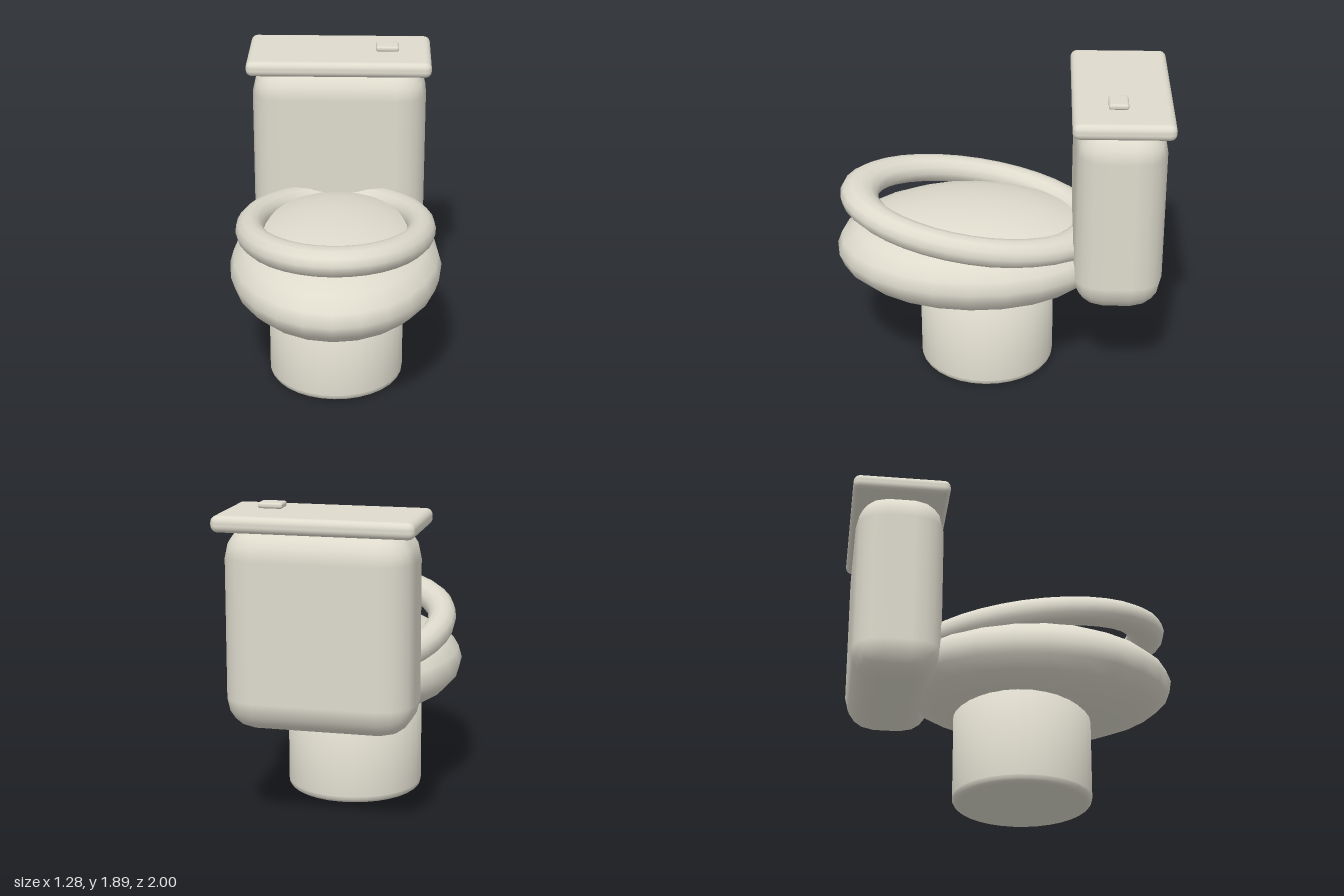
import * as THREE from 'three';
import { RoundedBoxGeometry } from 'three/addons/geometries/RoundedBoxGeometry.js';

export function createModel() {
  const group = new THREE.Group();
  const ceramic = new THREE.MeshStandardMaterial({ color: 0xdedbcd });
  ceramic.name = 'ceramic';

  const add = (name, geometry, x, y, z) => {
    const mesh = new THREE.Mesh(geometry, ceramic);
    mesh.name = name;
    mesh.position.set(x, y, z);
    group.add(mesh);
    return mesh;
  };

  // Round pedestal with a softened bottom edge; its top is sunk into the bowl
  const r = 0.413, bevel = 0.04;
  const profile = [new THREE.Vector2(0, 0), new THREE.Vector2(r - bevel - 0.001, 0)];
  for (let i = 0; i <= 4; i++) {
    const a = (i / 4) * Math.PI / 2;
    profile.push(new THREE.Vector2(r - bevel + bevel * Math.sin(a), bevel - bevel * Math.cos(a)));
  }
  profile.push(new THREE.Vector2(r, bevel + 0.001), new THREE.Vector2(r, 0.65), new THREE.Vector2(0, 0.65));
  add('pedestal', new THREE.LatheGeometry(profile, 32), 0, 0, 0.083);

  // Bowl: a stretched, flattened ball
  add('bowl', new THREE.SphereGeometry(1, 24, 12).scale(0.64, 0.29, 0.84), 0, 0.78, 0.16);

  // Oval seat ring, raised at the front
  const seat = new THREE.TorusGeometry(0.515, 0.085, 12, 36).rotateX(Math.PI / 2).scale(1, 1, 1.366);
  add('seat', seat, 0, 1.02, 0.16).rotation.x = -0.157;

  // Tank, lid and flush button
  add('tank', new RoundedBoxGeometry(1.09, 1.18, 0.53, 2, 0.185), 0, 1.185, -0.705);
  add('tankLid', new RoundedBoxGeometry(1.145, 0.096, 0.583, 3, 0.04), 0, 1.797, -0.7085);
  add('flushButton', new RoundedBoxGeometry(0.143, 0.034, 0.115, 2, 0.014), 0.3, 1.87, -0.68);

  return group;
}
